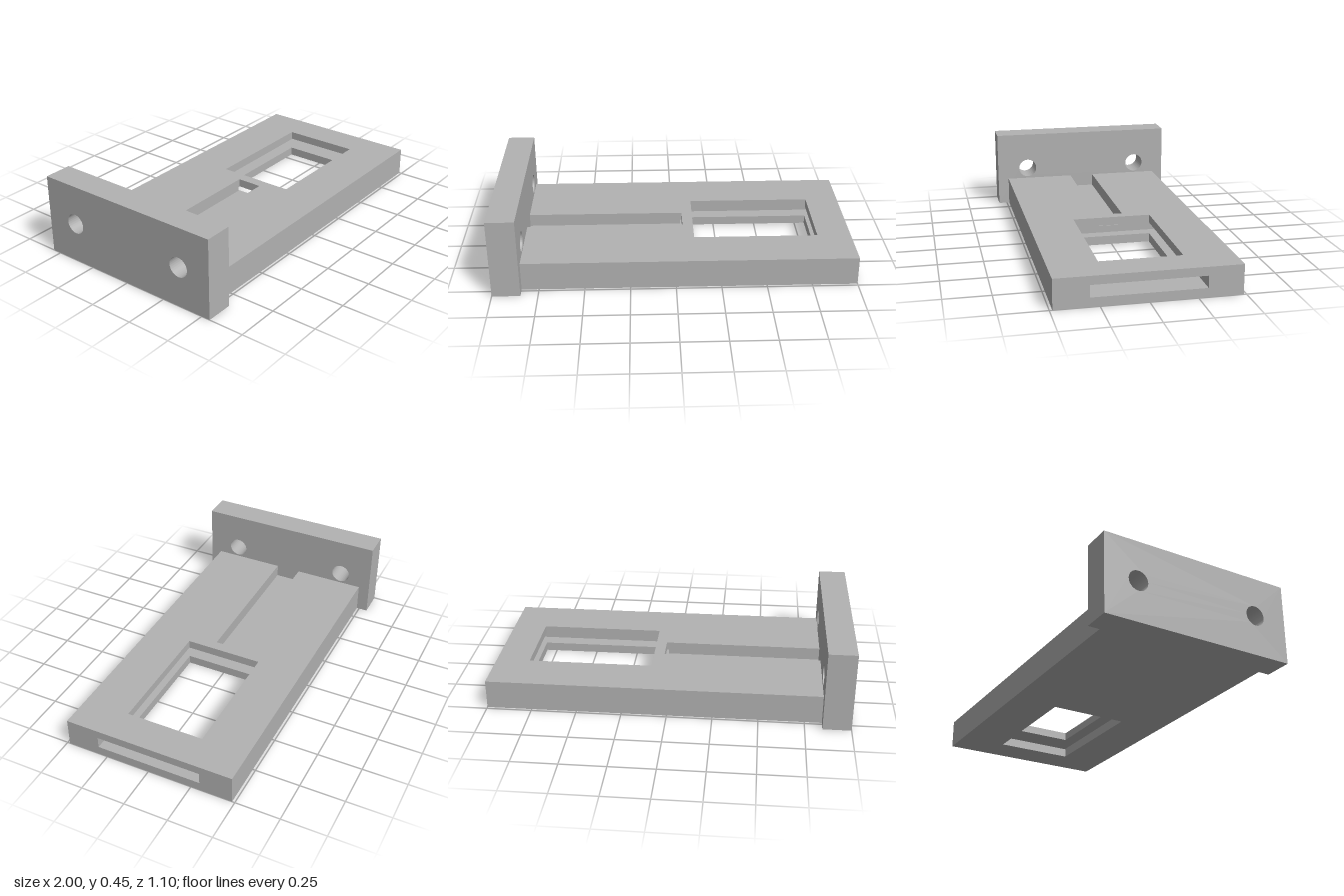
import * as THREE from 'three';
import { toCreasedNormals } from 'three/addons/utils/BufferGeometryUtils.js';

const grey = new THREE.MeshStandardMaterial({ color: 0xb2b2b2 });
grey.name = 'plainGrey';

// body extents, window, card slot and cable groove
const X0 = -0.845, X1 = 1, W = 0.485;
const WIN0 = 0.11, WIN1 = 0.81, WINW = 0.222;
const SLOT0 = 0.04, SLOTW = 0.3;
const GROOVE1 = 0.05, GROOVEW = 0.073;

const outline = (pts) => new THREE.Shape(pts.map(([x, y]) => new THREE.Vector2(x, y)));

function withWindow(shape) {
  shape.holes.push(outline([[WIN0, -WINW], [WIN0, WINW], [WIN1, WINW], [WIN1, -WINW]]));
  return shape;
}

// horizontal slab between two heights, drawn as a plan
function slab(name, shapes, y0, y1) {
  const geo = new THREE.ExtrudeGeometry(shapes, { depth: y1 - y0, bevelEnabled: false });
  geo.rotateX(-Math.PI / 2).translate(0, y0, 0);
  const mesh = new THREE.Mesh(geo, grey);
  mesh.name = name;
  return mesh;
}

export function createModel() {
  const model = new THREE.Group();
  model.name = 'slottedBracket';

  const body = new THREE.Group();
  body.name = 'body';

  // floor with the window
  const floor = withWindow(outline([[X0, -W], [X1, -W], [X1, W], [X0, W]]));
  body.add(slab('bodyFloor', floor, 0, 0.05));

  // lower slot walls, open at the right end
  const slotWalls = outline([
    [X0, -W], [X1, -W], [X1, -SLOTW], [SLOT0, -SLOTW],
    [SLOT0, SLOTW], [X1, SLOTW], [X1, W], [X0, W],
  ]);
  body.add(slab('lowerSlotWalls', slotWalls, 0.05, 0.09));

  // upper slot walls, where the groove runs into the slot
  const halves = [1, -1].map((s) => outline([
    [X0, s * GROOVEW], [SLOT0, s * GROOVEW], [SLOT0, s * SLOTW],
    [X1, s * SLOTW], [X1, s * W], [X0, s * W],
  ]));
  body.add(slab('upperSlotWalls', halves, 0.09, 0.115));

  // top with groove and window
  const top = withWindow(outline([
    [X0, -W], [X1, -W], [X1, W], [X0, W],
    [X0, GROOVEW], [GROOVE1, GROOVEW], [GROOVE1, -GROOVEW], [X0, -GROOVEW],
  ]));
  body.add(slab('bodyTop', top, 0.115, 0.162));
  model.add(body);

  // upright end plate with two round holes
  const face = outline([[-0.55, 0], [0.55, 0], [0.55, 0.452], [-0.55, 0.452]]);
  for (const s of [-1, 1]) {
    face.holes.push(new THREE.Path().absarc(s * 0.357, 0.228, 0.056, 0, Math.PI * 2, true));
  }
  const plateGeo = new THREE.ExtrudeGeometry(face, { depth: 0.155, bevelEnabled: false, curveSegments: 32 });
  plateGeo.rotateY(Math.PI / 2).translate(-1, 0, 0);
  const plate = new THREE.Mesh(toCreasedNormals(plateGeo, 0.6), grey);
  plate.name = 'endPlate';
  model.add(plate);

  return model;
}
